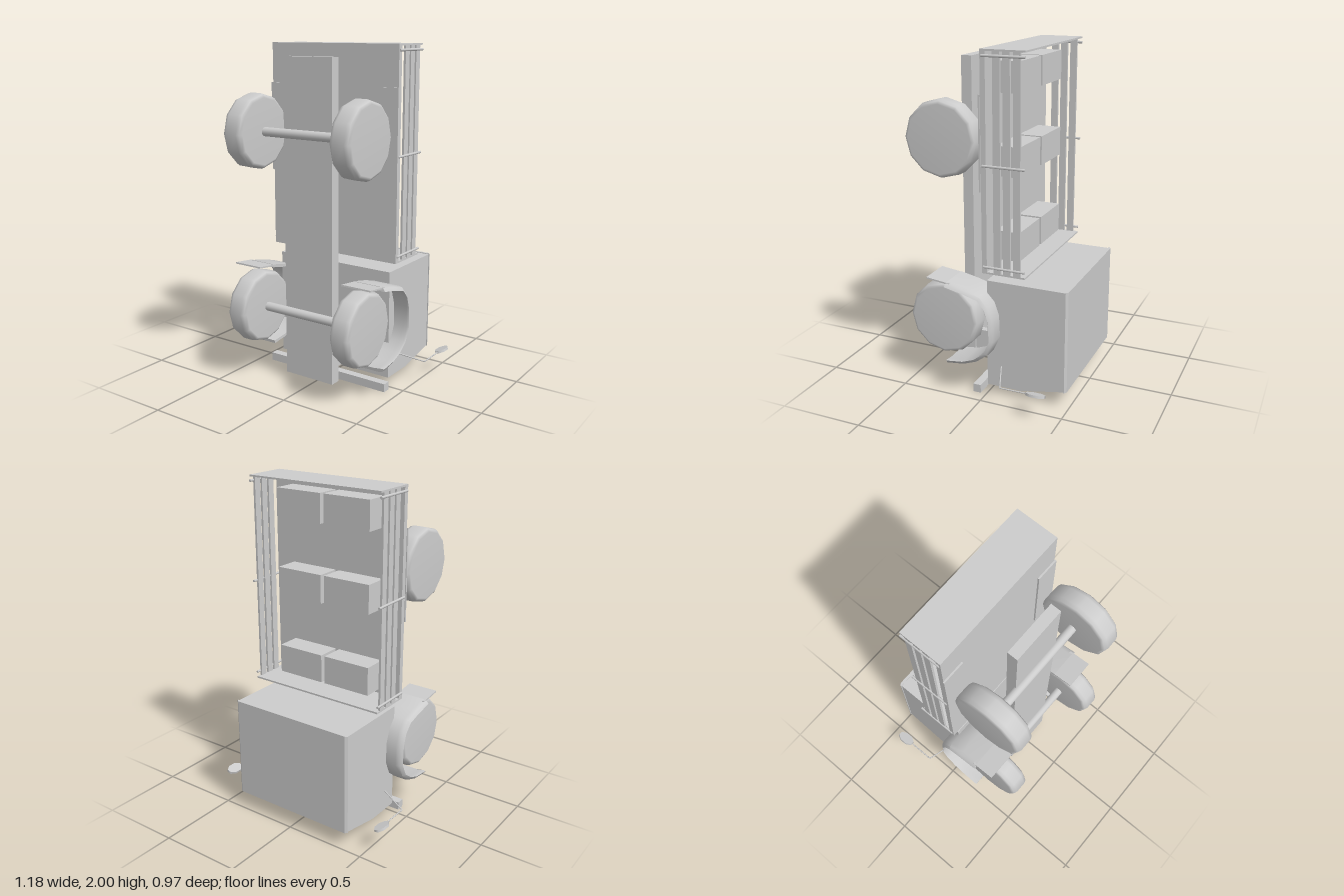
import * as THREE from 'three';
import { toCreasedNormals } from 'three/addons/utils/BufferGeometryUtils.js';

const grey = new THREE.MeshStandardMaterial({ color: 0xcccccc, side: THREE.DoubleSide });
grey.name = 'light grey';

export function createModel() {
  const model = new THREE.Group();
  model.name = 'truckStandingOnNose';

  const add = (name, geometry) => {
    const mesh = new THREE.Mesh(geometry, grey);
    mesh.name = name;
    model.add(mesh);
    return mesh;
  };
  // Box given by its extents on each axis
  const box = (name, x0, x1, y0, y1, z0, z1) => {
    const mesh = add(name, new THREE.BoxGeometry(x1 - x0, y1 - y0, z1 - z0));
    mesh.position.set((x0 + x1) / 2, (y0 + y1) / 2, (z0 + z1) / 2);
    return mesh;
  };
  // Same box on both sides, given for +x
  const boxPair = (name, x0, x1, ...rest) => {
    box(name + 'Left', x0, x1, ...rest);
    box(name + 'Right', -x1, -x0, ...rest);
  };
  // Straight rod between two points
  const rod = (name, a, b, r, sides = 8) => {
    const from = new THREE.Vector3(...a), to = new THREE.Vector3(...b);
    const dir = to.clone().sub(from);
    const mesh = add(name, new THREE.CylinderGeometry(r, r, dir.length(), sides));
    mesh.position.copy(from).add(to).multiplyScalar(0.5);
    mesh.quaternion.setFromUnitVectors(new THREE.Vector3(0, 1, 0), dir.normalize());
    return mesh;
  };

  // Chassis, front struts and bumper
  box('chassis', -0.167, 0.167, 0.045, 1.93, 0.19, 0.253);
  boxPair('chassisStrut', 0.11, 0.152, 0.13, 0.265, -0.01, 0.195);
  box('bumper', -0.42, 0.42, 0, 0.05, 0.035, 0.083);
  rod('gearLever', [-0.278, 0.54, 0.065], [-0.29, 0.515, 0.095], 0.005);

  // Axles and wheels
  const tyreProfile = [[0, -0.066], [0.195, -0.066], [0.212, -0.056], [0.22, -0.035],
    [0.22, 0.035], [0.212, 0.056], [0.195, 0.066], [0, 0.066]].map(p => new THREE.Vector2(...p));
  const wheelGeometry = new THREE.LatheGeometry(tyreProfile, 12).rotateZ(Math.PI / 2);
  for (const [end, y] of [['front', 0.44], ['rear', 1.5]]) {
    rod(end + 'Axle', [-0.31, y, 0.263], [0.31, y, 0.263], 0.027, 16);
    for (const side of [-1, 1]) {
      add(end + (side > 0 ? 'WheelLeft' : 'WheelRight'), wheelGeometry).position.set(side * 0.364, y, 0.265);
    }
  }

  // Cab body from its side outline (z, y)
  const cabOutline = new THREE.Shape([[0, 0.055], [0, 0.708], [-0.472, 0.708], [-0.472, 0.105], [-0.21, 0.055]]
    .map(p => new THREE.Vector2(...p)));
  add('cab', new THREE.ExtrudeGeometry(cabOutline, { depth: 0.79, bevelEnabled: false })
    .rotateY(-Math.PI / 2).translate(0.395, 0, 0));

  // Chamfered roof slab, outline in (x, z)
  const roofOutline = new THREE.Shape([[-0.4, 0.47], [0.4, 0.47], [0.4, 0.475], [0.385, 0.487], [-0.385, 0.487], [-0.4, 0.475]]
    .map(p => new THREE.Vector2(...p)));
  add('roof', new THREE.ExtrudeGeometry(roofOutline, { depth: 0.61, bevelEnabled: false })
    .rotateX(-Math.PI / 2).translate(0, 0.102, 0));

  // Thin nose details
  box('grille', -0.2, 0.2, 0.05, 0.056, -0.14, -0.03);
  boxPair('headlight', 0.29, 0.35, 0.05, 0.056, -0.075, -0.025);

  // Curved front fenders: a lipped cross-section swept along a side path (z, y)
  const path = [[0.215, 0.693], [0.095, 0.668], [0.005, 0.642], [-0.048, 0.585], [-0.075, 0.505],
    [-0.08, 0.375], [-0.04, 0.285], [0.03, 0.23], [0.11, 0.2], [0.215, 0.187]];
  const section = [[0.29, 0], [0.46, 0], [0.485, 0.006], [0.498, 0.024], [0.486, 0.026], [0.455, 0.018], [0.29, 0.018]];
  const n = section.length;
  const fender = side => {
    const positions = [], index = [];
    path.forEach(([z, y], i) => {
      const a = path[Math.max(i - 1, 0)], b = path[Math.min(i + 1, path.length - 1)];
      const dz = b[0] - a[0], dy = b[1] - a[1], len = Math.hypot(dz, dy);
      for (const [x, inset] of section) {
        positions.push(side * x, y + dz / len * inset, z - dy / len * inset);
      }
    });
    const quad = (a, b, c, d) => (side > 0 ? index.push(a, b, c, a, c, d) : index.push(a, c, b, a, d, c));
    for (let i = 0; i < path.length - 1; i++) {
      for (let j = 0; j < n; j++) {
        const k = (j + 1) % n;
        quad(i * n + j, i * n + k, (i + 1) * n + k, (i + 1) * n + j);
      }
    }
    // End caps
    const last = (path.length - 1) * n;
    for (let j = 1; j < n - 1; j++) {
      const cap = [0, j + 1, j, last, last + j, last + j + 1];
      index.push(...(side > 0 ? cap : cap.reverse()));
    }
    // Orient every face outward from the swept strip
    const geometry = new THREE.BufferGeometry();
    geometry.setAttribute('position', new THREE.Float32BufferAttribute(positions, 3));
    for (let t = 0; t < index.length; t += 3) [index[t + 1], index[t + 2]] = [index[t + 2], index[t + 1]];
    geometry.setIndex(index);
    return toCreasedNormals(geometry, 0.8);
  };
  for (const side of [-1, 1]) {
    const tag = side > 0 ? 'Left' : 'Right';
    add('frontFender' + tag, fender(side));

    // Flap behind the front wheel
    const flap = box('mudFlap' + tag, side * 0.385 - 0.095, side * 0.385 + 0.095, 0.688, 0.697, 0.195, 0.342);
    flap.rotation.x = -0.12;

    // Mirror on a bent arm
    rod('mirrorMount' + tag, [side * 0.39, 0.187, -0.085], [side * 0.557, 0.145, -0.15], 0.004);
    rod('mirrorArm' + tag, [side * 0.557, 0.145, -0.15], [side * 0.557, 0.148, -0.365], 0.004);
    const mirror = add('mirror' + tag, new THREE.CylinderGeometry(1, 1, 0.014, 8)
      .rotateY(Math.PI / 8).scale(0.036, 1, 0.059));
    mirror.position.set(side * 0.557, 0.148, -0.366);
    mirror.rotation.z = side * 0.3;
  }

  // Load bed: floor, end panels and guards above the rear wheels
  box('bedFloor', -0.438, 0.438, 0.767, 2, -0.022, 0.008);
  box('tailgate', -0.438, 0.438, 1.99, 2, -0.25, -0.022);
  box('bedFrontPanel', -0.438, 0.438, 0.767, 0.777, -0.25, -0.022);
  boxPair('rearGuard', 0.3, 0.443, 1.235, 1.765, 0.008, 0.018);

  // Slatted sides and their posts
  for (const z of [-0.084, -0.142, -0.201]) {
    boxPair('sideSlat', 0.425, 0.438, 0.775, 1.992, z - 0.021, z + 0.021);
  }
  for (const y of [0.806, 1.382, 1.966]) {
    for (const x of [-0.438, 0.438]) rod('sidePost', [x, y, 0], [x, y, -0.25], 0.0075);
  }

  // Three rows of paired crates
  for (const y of [0.815, 1.3, 1.76]) {
    boxPair('crate', 0.012, 0.315, y, y + 0.17, -0.165, -0.022);
  }
  return model;
}
